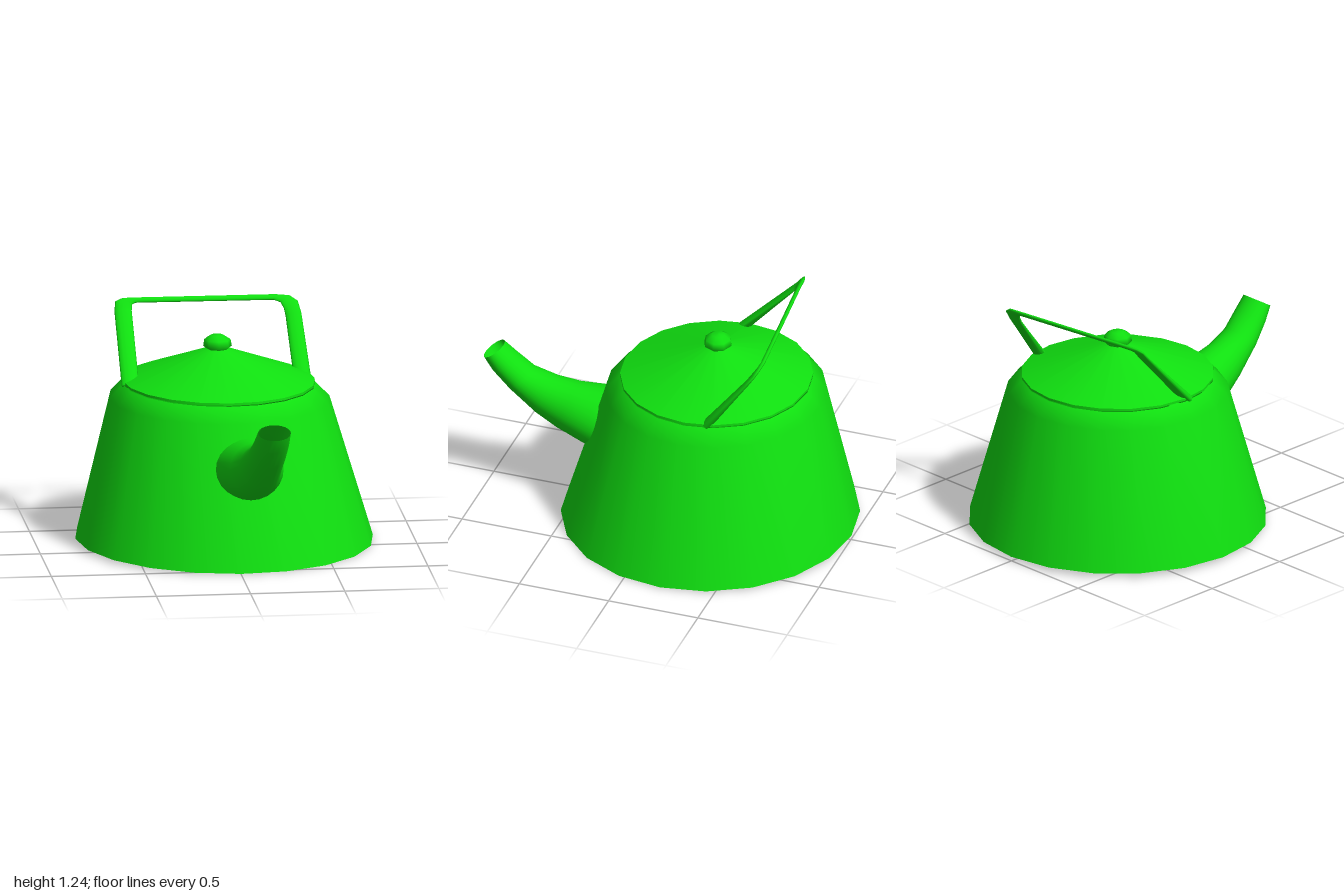
import * as THREE from 'three';
import { toCreasedNormals } from 'three/addons/utils/BufferGeometryUtils.js';

const V = (x, y, z) => new THREE.Vector3(x, y, z);
const green = new THREE.MeshStandardMaterial({ color: 0x10e010, side: THREE.DoubleSide });

// Skin over elliptical sections, each given as [centre, half-axis u, half-axis v]
function loft(sections, sides, capped) {
  const pos = [], index = [];
  for (const [c, u, v] of sections) {
    for (let j = 0; j < sides; j++) {
      const a = (j / sides) * Math.PI * 2;
      const p = c.clone().addScaledVector(u, Math.cos(a)).addScaledVector(v, Math.sin(a));
      pos.push(p.x, p.y, p.z);
    }
  }
  for (let i = 0; i < sections.length - 1; i++) {
    for (let j = 0; j < sides; j++) {
      const a = i * sides + j, b = i * sides + ((j + 1) % sides);
      index.push(a, b, b + sides, a, b + sides, a + sides);
    }
  }
  if (capped) {
    const last = (sections.length - 1) * sides;
    for (let j = 1; j < sides - 1; j++) {
      index.push(0, j + 1, j, last, last + j, last + j + 1);
    }
  }
  const g = new THREE.BufferGeometry();
  g.setAttribute('position', new THREE.Float32BufferAttribute(pos, 3));
  g.setIndex(index);
  g.computeVertexNormals();
  return g;
}

function lathe(points, sides) {
  return new THREE.LatheGeometry(points.map(([r, y]) => new THREE.Vector2(r, y)), sides);
}

export function createModel() {
  const kettle = new THREE.Group();
  kettle.name = 'kettle';
  const add = (name, geometry) => {
    const mesh = new THREE.Mesh(geometry, green);
    mesh.name = name;
    kettle.add(mesh);
  };

  // The turned parts lean slightly left and back
  const lean = new THREE.Matrix4().set(
    1, -0.03, 0, 0,
    -0.013, 1, -0.013, 0.0145,
    0, -0.03, 1, -0.213,
    0, 0, 0, 1
  );

  // Tapered body with a bevelled shoulder, and its flat base
  add('body', lathe([[0.79, 0], [0.585, 0.753], [0.51, 0.83]], 20).applyMatrix4(lean));
  add('base', new THREE.CircleGeometry(0.79, 20).rotateX(Math.PI / 2).applyMatrix4(lean));

  // Conical lid with a thin rim
  const lid = lathe([[0.49, 0.83], [0.51, 0.835], [0.51, 0.848], [0.06, 1.015], [0, 1.035]], 20);
  add('lid', toCreasedNormals(lid.applyMatrix4(lean), 0.6));

  // Eight-sided knob
  add('knob', lathe([[0, 1.0], [0.045, 1.005], [0.076, 1.03], [0.07, 1.065], [0.035, 1.087], [0, 1.09]], 8)
    .applyMatrix4(lean));

  // Open curved spout: centre x, half width, lower edge (y, z), upper edge (y, z)
  const spout = [
    [0.062, 0.175, 0.345, 0.38, 0.68, 0.3],
    [0.065, 0.18, 0.37, 0.45, 0.685, 0.36],
    [0.08, 0.135, 0.43, 0.6, 0.695, 0.5],
    [0.093, 0.112, 0.505, 0.72, 0.718, 0.62],
    [0.11, 0.1, 0.64, 0.865, 0.755, 0.74],
    [0.125, 0.093, 0.747, 0.957, 0.83, 0.83],
    [0.133, 0.087, 0.825, 1.0, 0.887, 0.9],
  ].map(([x, w, y0, z0, y1, z1]) => [
    V(x, (y0 + y1) / 2, (z0 + z1) / 2),
    V(w, 0, 0),
    V(0, (y1 - y0) / 2, (z1 - z0) / 2),
  ]);
  add('spout', loft(spout, 24, false));

  // Backward-tilted handle: inner edge, outer edge, half thickness
  const handle = [
    [V(-0.452, 0.85, -0.2), V(-0.545, 0.85, -0.2), 0.026],
    [V(-0.455, 1.18, -0.515), V(-0.547, 1.18, -0.515), 0.012],
    [V(-0.45, 1.208, -0.535), V(-0.538, 1.225, -0.55), 0.011],
    [V(-0.432, 1.215, -0.545), V(-0.5, 1.238, -0.562), 0.01],
    [V(-0.41, 1.215, -0.547), V(-0.43, 1.238, -0.566), 0.01],
    [V(0.31, 1.195, -0.608), V(0.32, 1.219, -0.63), 0.01],
    [V(0.345, 1.182, -0.6), V(0.395, 1.213, -0.627), 0.01],
    [V(0.36, 1.155, -0.58), V(0.438, 1.185, -0.61), 0.011],
    [V(0.367, 1.12, -0.56), V(0.452, 1.13, -0.568), 0.013],
    [V(0.385, 0.842, -0.35), V(0.477, 0.842, -0.35), 0.026],
  ].map(([inner, outer, t]) => [
    inner.clone().add(outer).multiplyScalar(0.5),
    inner.clone().sub(outer).multiplyScalar(0.5),
    V(0, -0.68 * t, -0.73 * t),
  ]);
  add('handle', loft(handle, 12, true));

  return kettle;
}
